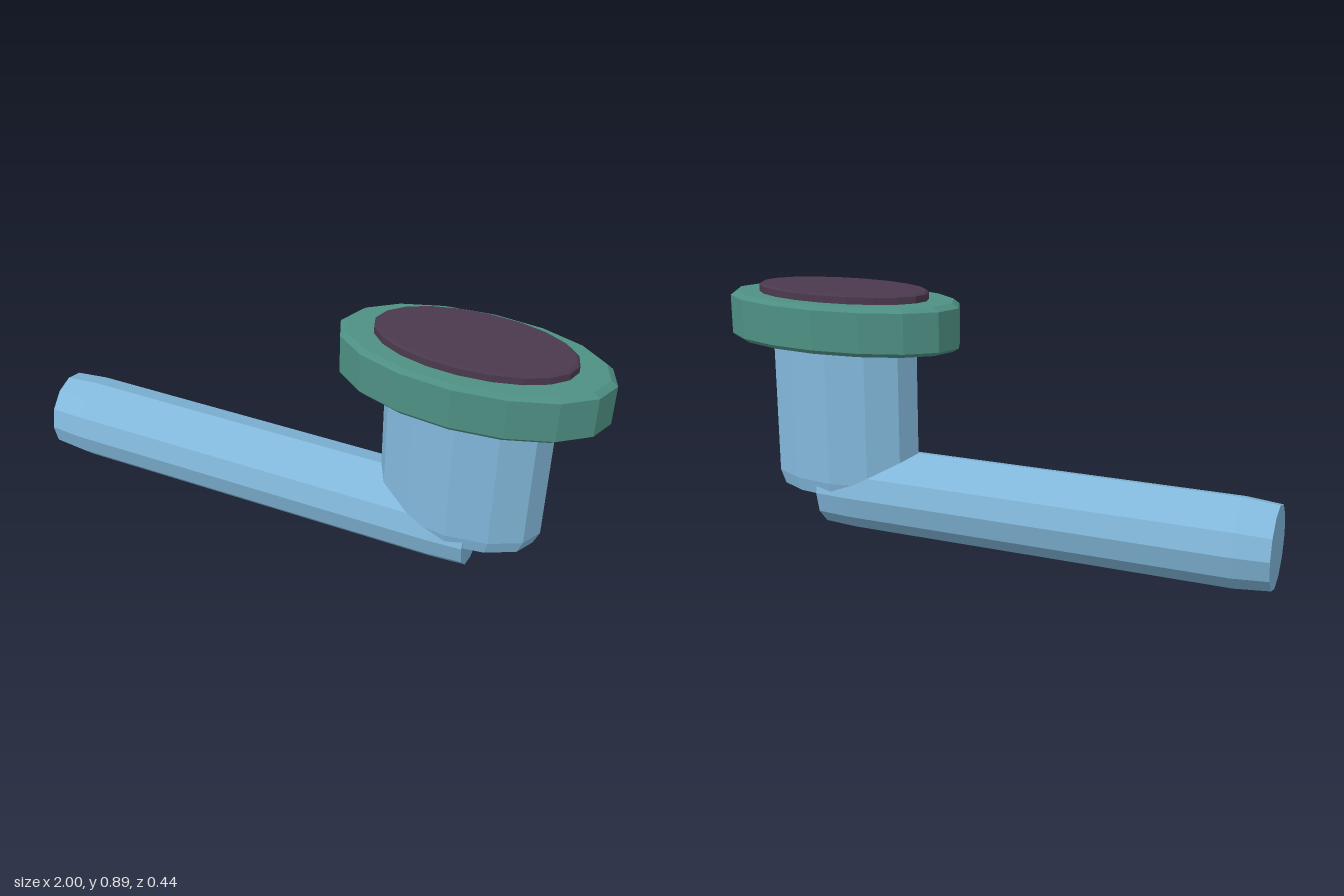
import * as THREE from 'three';

const paint = (name, color) => {
  const m = new THREE.MeshStandardMaterial({ color });
  m.name = name;
  return m;
};

// Faceted closed solid turned from [radius, height] pairs, then squashed to an oval.
function turned(profile, sides, rx, rz) {
  const first = profile[0], last = profile[profile.length - 1];
  const points = [[0, first[1]], ...profile, [0, last[1]]]
    .map(([r, y]) => new THREE.Vector2(r, y));
  return new THREE.LatheGeometry(points, sides).scale(rx, 1, rz);
}

function part(name, geometry, material) {
  const faceted = geometry.toNonIndexed();
  faceted.computeVertexNormals();
  const mesh = new THREE.Mesh(faceted, material);
  mesh.name = name;
  return mesh;
}

export function createModel() {
  const group = new THREE.Group();
  group.name = 'pipeWithCap';
  const blue = paint('light blue', 0x82b8db);
  const green = paint('teal green', 0x4e9084);
  const purple = paint('dark plum', 0x4b394e);
  const headX = 0.555;

  // Long pipe lying along x, tapering slightly at both ends
  const pipeGeo = turned([[0.93, -1], [1, -0.88], [1, 0.49], [0.96, 0.615]], 12, 0.154, 0.143);
  pipeGeo.rotateZ(-Math.PI / 2);
  const pipe = part('pipe', pipeGeo, blue);
  pipe.position.y = 0.155;

  // Oval upright with a chamfered foot
  const upright = part('upright', turned([[0.93, 0.15], [1, 0.2], [1, 0.72]], 12, 0.285, 0.143), blue);

  // Wide oval collar with bevelled rims
  const collar = part('collar',
    turned([[0.95, 0.69], [1, 0.704], [1, 0.842], [0.95, 0.858]], 16, 0.445, 0.222), green);

  // Thin oval lid on top
  const lid = part('lid', turned([[1, 0.85], [1, 0.882], [0.97, 0.889]], 20, 0.327, 0.163), purple);

  for (const p of [upright, collar, lid]) p.position.x = headX;
  group.add(pipe, upright, collar, lid);
  return group;
}
